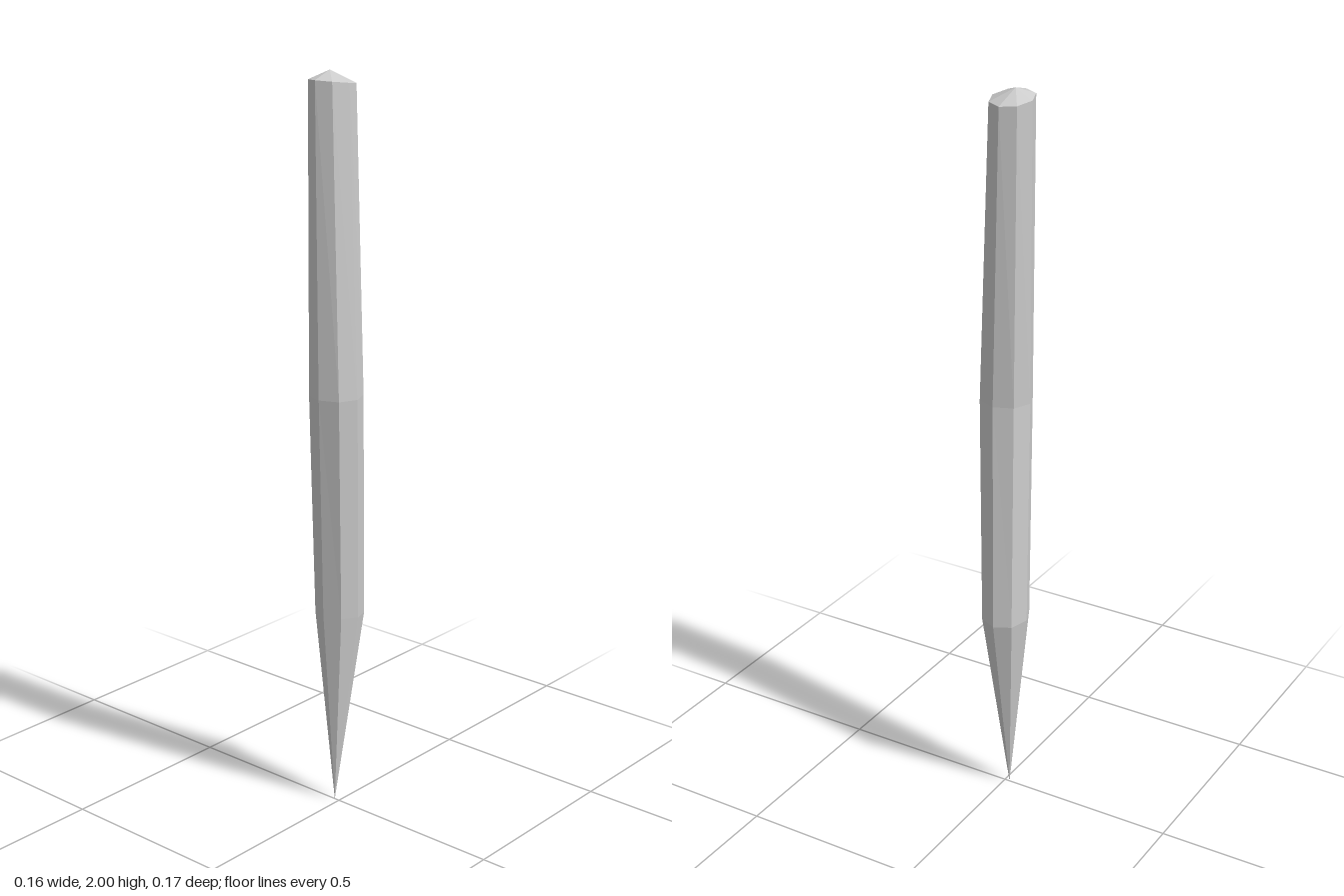
import * as THREE from 'three';

const SIDES = 8;

// One tilted, slightly oval cross-section
function ring({ x, y, z, rx, rz, tilt }) {
  return Array.from({ length: SIDES }, (_, i) => {
    const a = (i / SIDES) * Math.PI * 2;
    const dz = rz * Math.sin(a);
    return [x + rx * Math.cos(a), y + tilt * dz, z + dz];
  });
}

export function createModel() {
  const group = new THREE.Group();
  group.name = 'stake';

  const tip = [-0.015, 0, 0];
  const apex = [-0.03, 2, 0];
  const rings = [
    { x: -0.015, y: 0.555, z: -0.021, rx: 0.065, rz: 0.067, tilt: 0.1 },
    { x: 0.006, y: 1.175, z: 0.017, rx: 0.072, rz: 0.069, tilt: 0 },
    { x: -0.019, y: 1.973, z: 0.003, rx: 0.056, rz: 0.065, tilt: 0.12 },
  ].map(ring);

  const material = new THREE.MeshStandardMaterial({ color: 0xcccccc, flatShading: true });
  const addPart = (name, points) => {
    const geometry = new THREE.BufferGeometry();
    geometry.setAttribute('position', new THREE.Float32BufferAttribute(points.flat(), 3));
    geometry.computeVertexNormals();
    const mesh = new THREE.Mesh(geometry, material);
    mesh.name = name;
    group.add(mesh);
  };

  const point = [], shaft = [], cap = [];
  const top = rings[rings.length - 1];
  for (let i = 0; i < SIDES; i++) {
    const j = (i + 1) % SIDES;
    point.push(tip, rings[0][i], rings[0][j]);
    cap.push(apex, top[j], top[i]);
    for (let k = 0; k < rings.length - 1; k++) {
      const lo = rings[k], hi = rings[k + 1];
      shaft.push(lo[i], hi[i], hi[j], lo[i], hi[j], lo[j]);
    }
  }

  addPart('sharpenedPoint', point); // long taper to the ground
  addPart('bentShaft', shaft);      // two slightly leaning sections
  addPart('bluntTop', cap);         // shallow faceted crown
  return group;
}
